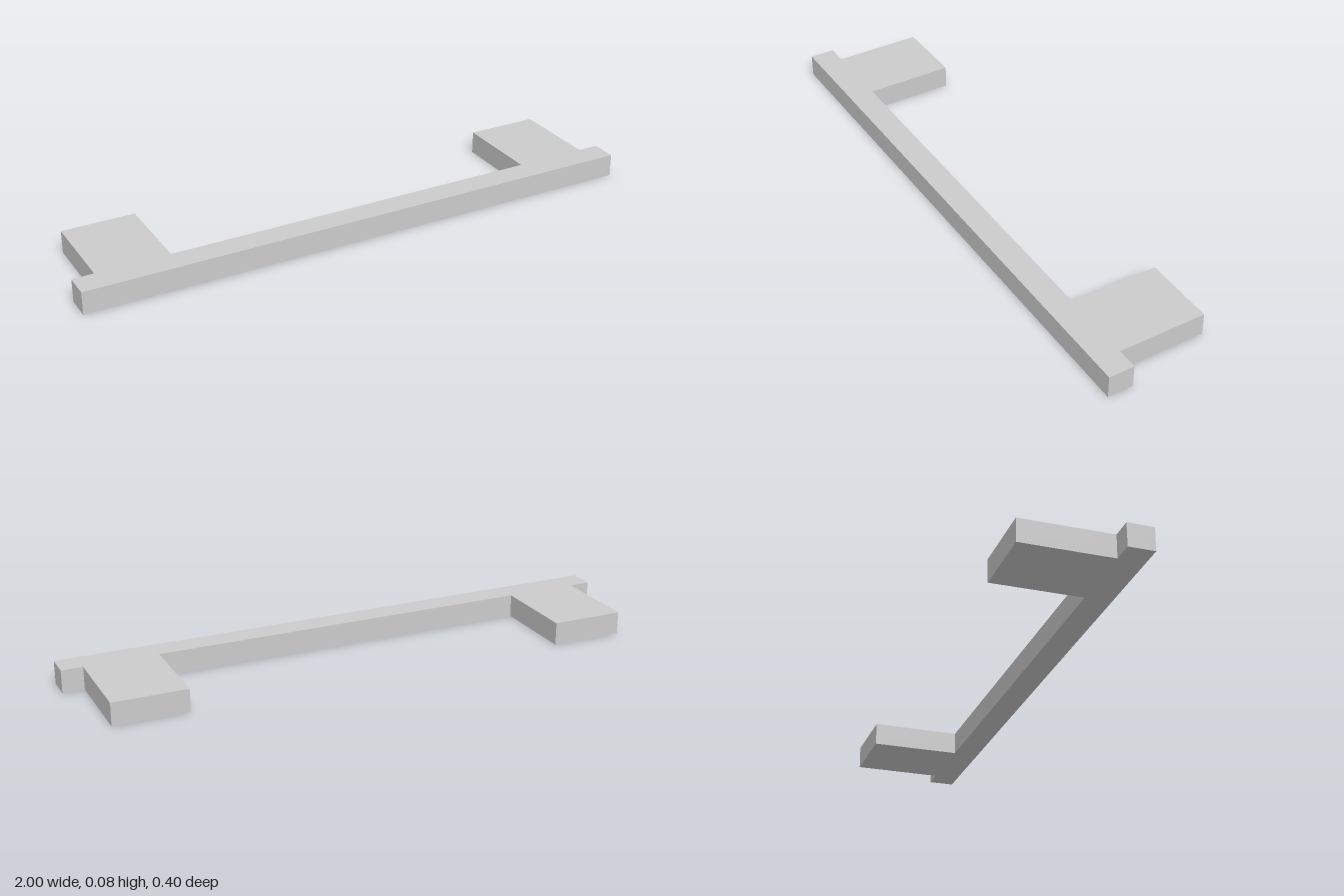
import * as THREE from 'three';

const HEIGHT = 0.08;
const BACK = -0.2, JOINT = 0.111, FRONT = 0.2;

export function createModel() {
  const model = new THREE.Group();
  model.name = 'barHandle';
  const material = new THREE.MeshStandardMaterial({ color: 0xcccccc });

  // Box standing on the ground, spanning z0 to z1
  function addBlock(name, x, width, z0, z1) {
    const mesh = new THREE.Mesh(new THREE.BoxGeometry(width, HEIGHT, z1 - z0), material);
    mesh.name = name;
    mesh.position.set(x, HEIGHT / 2, (z0 + z1) / 2);
    model.add(mesh);
  }

  // Long front bar
  addBlock('frontBar', 0, 2, JOINT, FRONT);

  // Mirrored mounting blocks behind the bar
  for (const [name, side] of [['leftMount', 1], ['rightMount', -1]]) {
    addBlock(name, side * 0.798, 0.256, BACK, JOINT);
  }

  return model;
}
